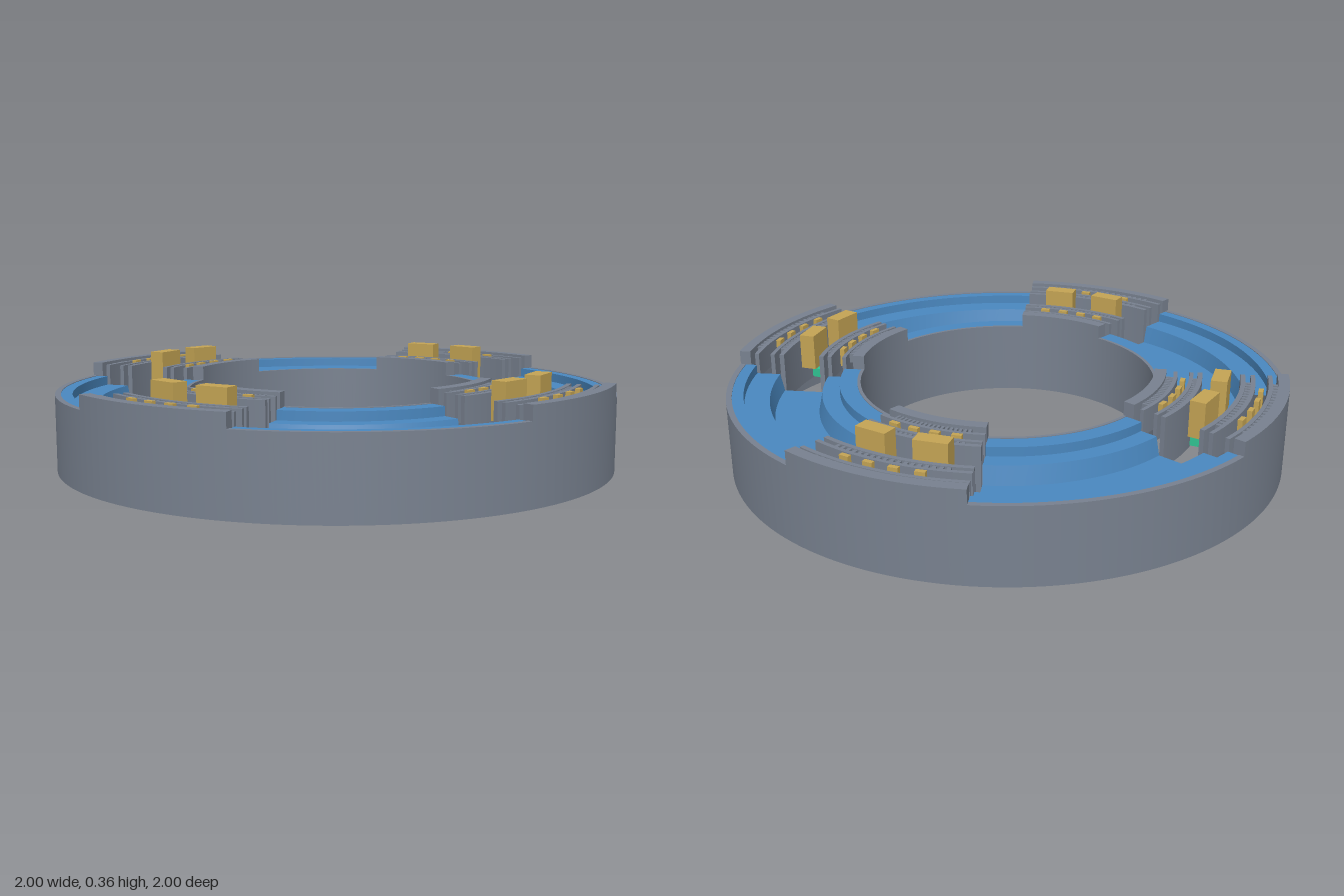
import * as THREE from 'three';
import { toCreasedNormals } from 'three/addons/utils/BufferGeometryUtils.js';

const paint = (name, color, side = THREE.FrontSide) => {
  const m = new THREE.MeshStandardMaterial({ color, side });
  m.name = name;
  return m;
};
const rad = THREE.MathUtils.degToRad;

// Solid ring segment; angles in degrees from +z towards +x
function arc(r0, r1, y0, y1, a0, a1) {
  const s = new THREE.Shape();
  const p0 = rad(a0 - 90), p1 = rad(a1 - 90);
  s.absarc(0, 0, r1, p0, p1, false);
  s.absarc(0, 0, r0, p1, p0, true);
  s.closePath();
  const g = new THREE.ExtrudeGeometry(s, {
    depth: y1 - y0, bevelEnabled: false, curveSegments: Math.max(2, Math.ceil((a1 - a0) / 2)),
  });
  g.rotateX(-Math.PI / 2).translate(0, y0, 0);
  return toCreasedNormals(g, rad(30));
}

export function createModel() {
  const gray = paint('slate gray', 0x78818f);
  const blue = paint('track blue', 0x4a88c0, THREE.DoubleSide);
  const gold = paint('gold', 0xc4a454);
  const green = paint('green', 0x30c492);

  const model = new THREE.Group();
  model.name = 'ringTrack';
  const OPEN = 36; // degrees of each quarter that show the mechanism

  for (let q = 0; q < 4; q++) {
    const quarter = new THREE.Group();
    quarter.name = 'quarter' + (q + 1);
    quarter.rotation.y = q * Math.PI / 2;
    model.add(quarter);

    const add = (name, geo, mat) => {
      const m = new THREE.Mesh(geo, mat);
      m.name = name;
      quarter.add(m);
      return m;
    };
    // Box placed on the ring: w along the ring, d along the radius
    const block = (name, mat, r, deg, w, d, y0, y1) => {
      const m = add(name, new THREE.BoxGeometry(w, y1 - y0, d), mat);
      const a = rad(deg);
      m.position.set(r * Math.sin(a), (y0 + y1) / 2, r * Math.cos(a));
      m.rotation.y = a;
    };

    // Outer and inner casing walls, taller at the open sector
    for (const [name, r0, r1] of [['outerWall', 0.98, 1], ['innerWall', 0.53, 0.542]]) {
      add(name, arc(r0, r1, 0, 0.32, 0, OPEN), gray);
      add(name, arc(r0, r1, 0, 0.27, OPEN, 90), gray);
    }

    // Stepped blue cover with a central trench
    const profile = [
      [0.542, 0.268], [0.605, 0.268], [0.605, 0.235], [0.668, 0.235], [0.682, 0.17],
      [0.838, 0.17], [0.852, 0.235], [0.94, 0.235], [0.94, 0.268], [0.98, 0.268],
    ].map(([r, y]) => new THREE.Vector2(r, y)).reverse();
    const cover = new THREE.LatheGeometry(profile.reverse(), 30, rad(OPEN), rad(90 - OPEN));
    // Turn the sheet so that its front faces up
    const idx = cover.index.array;
    for (let i = 0; i < idx.length; i += 3) [idx[i], idx[i + 1]] = [idx[i + 1], idx[i]];
    add('trackCover', toCreasedNormals(cover, rad(30)), blue);

    // Edge caps and concentric rails of the open sector
    add('outerCap', arc(0.96, 0.98, 0.23, 0.32, 0, OPEN), gray);
    add('innerCap', arc(0.542, 0.572, 0.23, 0.32, 0, OPEN), gray);
    const rails = [
      [0.928, 0.943, 0.22], [0.868, 0.883, 0.22], [0.832, 0.849, 0.13],
      [0.682, 0.699, 0.13], [0.653, 0.667, 0.22], [0.598, 0.612, 0.22],
    ];
    for (const [r0, r1, y0] of rails) add('rail', arc(r0, r1, y0, 0.312, 0, OPEN), gray);

    // Rows of small ties between neighbouring rails
    for (const [r0, r1] of [[0.943, 0.96], [0.849, 0.868], [0.667, 0.682], [0.572, 0.598]]) {
      for (let i = 0; i < 18; i++) {
        block('railTie', gray, (r0 + r1) / 2, 5 + i * 26 / 17, r0 * 0.015, r1 - r0 + 0.004, 0.275, 0.31);
      }
    }

    // Large gold blocks over the trench and the green crossbeam
    for (const s of [-1, 1]) block('largeBlock', gold, 0.768, 18 + s * 7.6, 0.115, 0.056, 0.23, 0.36);
    block('crossbeam', green, 0.766, 18, 0.042, 0.14, 0.135, 0.17);

    // Small gold blocks and green spacers in the side channels
    for (const [r, step, d] of [[0.905, 5.5, 0.05], [0.633, 6.8, 0.044]]) {
      for (let i = 0; i < 4; i++) {
        block('smallBlock', gold, r, 18 + (i - 1.5) * step, 0.034, 0.017, 0.25, 0.317);
      }
      for (let i = -1; i <= 1; i++) block('spacer', green, r, 18 + i * step, 0.013, d, 0.225, 0.245);
    }
  }
  return model;
}
